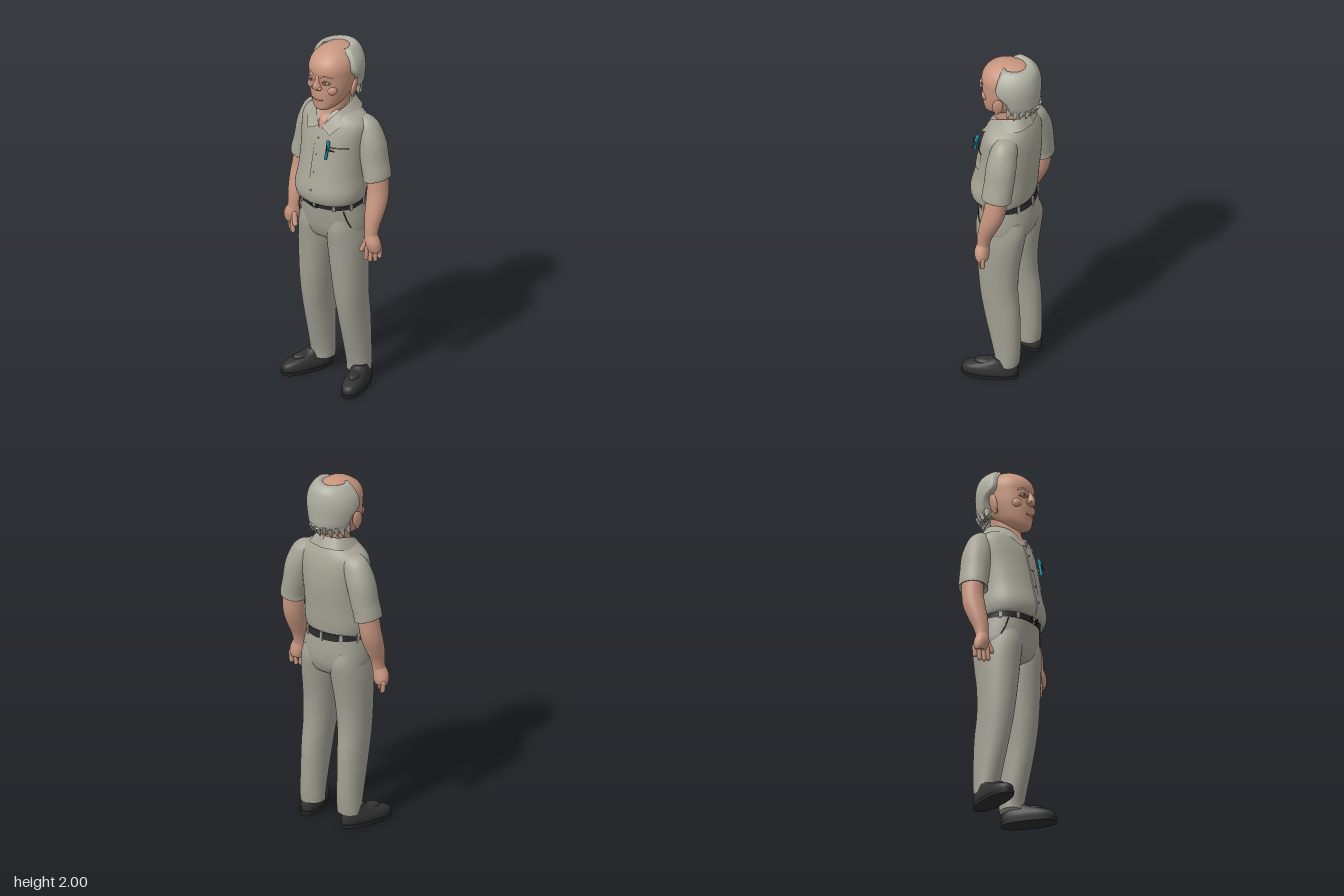
import * as THREE from 'three';

const mat = (name, color, side = THREE.FrontSide) => Object.assign(new THREE.MeshStandardMaterial({ color, side }), { name });

// Catmull-Rom resampling of a table of section rows
function resample(rows, sub) {
  const out = [], n = rows.length;
  for (let i = 0; i < n - 1; i++) {
    const [a, b, c, d] = [-1, 0, 1, 2].map(k => rows[Math.min(n - 1, Math.max(0, i + k))]);
    for (let s = 0; s < sub; s++) {
      const t = s / sub;
      out.push(b.map((v, k) => v + 0.5 * t * (c[k] - a[k] + t * (2 * a[k] - 5 * v + 4 * c[k] - d[k] + t * (3 * (v - c[k]) + d[k] - a[k])))));
    }
  }
  out.push(rows[n - 1]);
  return out;
}

function grid(pos, idx) {
  const g = new THREE.BufferGeometry();
  g.setAttribute('position', new THREE.Float32BufferAttribute(pos, 3));
  g.setIndex(idx);
  g.computeVertexNormals();
  return g;
}

// Closed body through rounded sections, each row being [y, x0, x1, z0, z1]
function loft(rows, power = 2, sub = 4, n = 36) {
  const rs = resample(rows, sub), pos = [], idx = [];
  const ring = ([y, x0, x1, z0, z1]) => {
    for (let j = 0; j < n; j++) {
      const a = j / n * Math.PI * 2, c = Math.cos(a), s = Math.sin(a);
      const f = v => Math.sign(v) * Math.abs(v) ** (2 / power);
      pos.push((x0 + x1) / 2 + (x1 - x0) / 2 * f(c), y, (z0 + z1) / 2 + (z1 - z0) / 2 * f(s));
    }
  };
  rs.forEach(ring);
  for (let i = 0; i < rs.length - 1; i++) for (let j = 0; j < n; j++) {
    const a = i * n + j, b = i * n + (j + 1) % n;
    idx.push(a, a + n, b, b, a + n, b + n);
  }
  [rs[0], rs[rs.length - 1]].forEach((r, top) => {
    const base = pos.length / 3;
    ring(r);
    pos.push((r[1] + r[2]) / 2, r[0], (r[3] + r[4]) / 2);
    for (let j = 0; j < n; j++) {
      const k = base + (j + 1) % n;
      top ? idx.push(base + n, k, base + j) : idx.push(base + n, base + j, k);
    }
  });
  return grid(pos, idx);
}

const sym = rows => rows.map(([y, h, z0, z1]) => [y, -h, h, z0, z1]);
const flip = (rows, s) => s > 0 ? rows : rows.map(([y, a, b, ...r]) => [y, -b, -a, ...r]);

// Front surface depth of a symmetric body
function frontZ(rows, x, y, power) {
  let i = 0;
  while (i < rows.length - 2 && rows[i + 1][0] < y) i++;
  const t = THREE.MathUtils.clamp((y - rows[i][0]) / (rows[i + 1][0] - rows[i][0]), 0, 1);
  const [, , h, z0, z1] = rows[i].map((v, k) => v + (rows[i + 1][k] - v) * t);
  return (z0 + z1) / 2 + (z1 - z0) / 2 * Math.max(0, 1 - Math.abs(x / h) ** power) ** (1 / power);
}

// Surface strip between two curves of points
function ruled(curveA, curveB, steps = 24) {
  const [A, B] = [curveA, curveB].map(c => new THREE.CatmullRomCurve3(c.map(p => new THREE.Vector3(...p))).getPoints(steps));
  const pos = [], idx = [];
  A.forEach((p, i) => {
    pos.push(...p.toArray(), ...B[i].toArray());
    if (i < steps) idx.push(2 * i, 2 * i + 1, 2 * i + 2, 2 * i + 2, 2 * i + 1, 2 * i + 3);
  });
  return grid(pos, idx);
}

const torsoRows = sym([[1.115, .165, -.135, .16], [1.122, .187, -.142, .18], [1.18, .198, -.152, .19], [1.28, .188, -.162, .167], [1.4, .19, -.173, .142],
  [1.5, .2, -.17, .12], [1.565, .2, -.157, .095], [1.605, .165, -.142, .075], [1.64, .095, -.125, .05]]);
const headRows = sym([[1.652, .026, .05, .112], [1.665, .052, .01, .127], [1.7, .083, -.05, .131], [1.75, .104, -.11, .136], [1.8, .117, -.14, .135],
  [1.85, .122, -.155, .136], [1.9, .123, -.16, .138], [1.945, .108, -.15, .116], [1.98, .072, -.115, .07], [1.995, .036, -.07, .025], [2, .004, -.025, -.015]]);
const beltRows = sym([[1.085, .178, -.154, .155], [1.13, .178, -.15, .16]]);

export function createModel() {
  const model = new THREE.Group();
  const D = THREE.DoubleSide;
  const skin = mat('skin', 0xc8967f), shirt = mat('shirt', 0xa6a496, D), trousers = mat('trousers', 0xa19f92), hair = mat('hair', 0xadada0, D);
  const shoe = mat('shoe leather', 0x323233), black = mat('black leather', 0x2a2a2c), teal = mat('pen teal', 0x14809c);
  const white = mat('eye white', 0xd8d2c8), seam = mat('seam and iris', 0x57524a, D), lip = mat('lips', 0xb07a68, D);
  const add = (name, geo, m, parent = model) => {
    const mesh = new THREE.Mesh(geo, m);
    mesh.name = name;
    parent.add(mesh);
    return mesh;
  };
  const ball = (name, m, x, y, z, sx, sy, sz) => {
    const b = add(name, new THREE.SphereGeometry(1, 20, 14), m);
    b.position.set(x, y, z);
    b.scale.set(sx, sy, sz);
    return b;
  };
  const tube = (name, pts, r, m) => add(name, new THREE.TubeGeometry(new THREE.CatmullRomCurve3(pts.map(p => new THREE.Vector3(...p))), 16, r, 8), m);
  const limb = (name, a, b, r, m) => {
    const va = new THREE.Vector3(...a), d = new THREE.Vector3(...b).sub(va);
    const c = add(name, new THREE.CapsuleGeometry(r, d.length(), 6, 12), m);
    c.position.copy(va).addScaledVector(d, .5);
    c.quaternion.setFromUnitVectors(new THREE.Vector3(0, 1, 0), d.normalize());
    return c;
  };
  const onShirt = (x, y, off = .003) => [x, y, frontZ(torsoRows, x, y, 2.2) + off];
  const onFace = (x, y, off = 0) => [x, y, frontZ(headRows, x, y, 2.2) + off];

  // Head, neck and face
  add('head', loft(headRows, 2.2, 5, 48), skin);
  add('neck', loft(sym([[1.535, .03, -.05, .112], [1.58, .052, -.08, .1], [1.63, .068, -.1, .07], [1.74, .075, -.11, .06]]), 2), skin);
  add('nose', loft(sym([[1.782, .014, .1, .146], [1.79, .026, .1, .158], [1.802, .028, .1, .163], [1.817, .02, .1, .165], [1.84, .013, .1, .152], [1.87, .014, .1, .138]]), 2, 4, 24), skin);
  add('upperLip', ruled([-.036, -.014, 0, .014, .036].map((x, i) => onFace(x, [1.726, 1.737, 1.735, 1.737, 1.726][i], .004)), [-.036, -.014, 0, .014, .036].map(x => onFace(x, 1.726, .008))), lip);
  add('lowerLip', ruled([-.034, -.014, 0, .014, .034].map(x => onFace(x, 1.725, .007)), [-.034, -.014, 0, .014, .034].map((x, i) => onFace(x, [1.723, 1.714, 1.712, 1.714, 1.723][i], .004))), lip);
  tube('mouthLine', [-.036, 0, .036].map(x => onFace(x, 1.7255, .005)), .002, seam);
  for (const s of [1, -1]) {
    const e = x => s * x;
    ball('eye', white, e(.05), 1.832, onFace(.05, 1.832)[2] - .004, .02, .0075, .008);
    ball('iris', seam, e(.05), 1.832, onFace(.05, 1.832)[2] + .001, .0075, .0068, .0045);
    tube('upperEyelid', [[.028, 1.831], [.048, 1.842], [.074, 1.83]].map(([x, y]) => onFace(e(x), y, .001)), .0045, skin);
    tube('eyelidLine', [[.028, 1.829], [.048, 1.839], [.074, 1.828]].map(([x, y]) => onFace(e(x), y, .003)), .0018, seam);
    tube('eyeBag', [[.03, 1.825], [.05, 1.819], [.073, 1.826]].map(([x, y]) => onFace(e(x), y, -.001)), .004, skin);
    tube('eyebrow', [[.022, 1.862], [.05, 1.87], [.083, 1.858]].map(([x, y]) => onFace(e(x), y, -.002)), .0055, skin);
    ball('nostrilWing', skin, e(.022), 1.797, .142, .012, .011, .013);
    ball('cheek', skin, e(.063), 1.785, .09, .034, .032, .03);
    const ear = ball('ear', skin, e(.135), 1.785, -.012, .013, .054, .03);
    ear.rotation.set(-.15, e(.35), e(-.12));
    ball('earLobe', skin, e(.127), 1.74, -.002, .011, .016, .013);
  }

  // Horseshoe of hair: rows are [y, side radius, back radius, half arc in degrees]
  const hr = resample([[1.76, .08, .09, 78], [1.72, .104, .132, 78], [1.765, .135, .153, 80], [1.83, .15, .157, 90], [1.88, .153, .158, 120], [1.93, .143, .152, 119],
    [1.97, .118, .138, 112], [1.994, .09, .108, 106], [1.985, .064, .074, 103], [1.95, .055, .05, 100]], 4);
  const hp = [], hi = [], HN = 72;
  hr.forEach(([y, rx, rz, deg], i) => {
    for (let j = 0; j <= HN; j++) {
      const t = j / HN * 2 - 1, a = t * deg * Math.PI / 180, c = Math.cos(a);
      const k = 1 - .22 * THREE.MathUtils.smoothstep(Math.abs(t), .84, 1);
      const jag = Math.max(0, 1 - Math.abs(i - 4) / 5) * (.018 * (j % 8) / 8 + .01 * Math.sin(j * .9));
      hp.push(Math.sin(a) * rx * k, y + jag, -.03 - c * (c > 0 ? rz : .1) * k);
      if (j < HN && i < hr.length - 1) {
        const p = i * (HN + 1) + j, q = p + HN + 1;
        hi.push(p, q, p + 1, p + 1, q, q + 1);
      }
    }
  });
  add('hair', grid(hp, hi), hair);
  // Loose tufts over the nape and behind the ears
  for (let i = -5; i <= 5; i++) {
    const a = i * .26, tuft = add('hairTuft', new THREE.ConeGeometry(.021, .065, 8), hair);
    tuft.position.set(Math.sin(a) * .122, 1.728 + .008 * (i & 1), -.03 - Math.cos(a) * .138);
    tuft.rotation.set(Math.PI - .25 * Math.cos(a), 0, -.35 * Math.sin(a));
  }

  // Shirt body, collar, front overlap and buttons
  add('shirtBody', loft(torsoRows, 2.2, 5, 56), shirt);
  for (const s of [1, -1]) {
    const m = pts => pts.map(([x, y, z]) => [s * x, y, z]);
    const fold = m([[0, 1.692, -.128], [.066, 1.688, -.1], [.09, 1.672, -.025], [.067, 1.63, .06], [.008, 1.553, .112]]);
    add('collarLeaf', ruled(fold, m([[0, 1.632, -.155], [.1, 1.63, -.125], [.135, 1.61, -.025], [.118, 1.575, .075], [.075, 1.525, .124]])), shirt);
    add('collarStand', ruled(fold, m([[0, 1.61, -.115], [.07, 1.61, -.09], [.088, 1.6, -.02], [.065, 1.57, .055], [.006, 1.535, .1]])), shirt);
  }
  const ys = [1.122, 1.16, 1.2, 1.25, 1.3, 1.36, 1.42, 1.48, 1.54];
  add('placket', ruled(ys.map(y => onShirt(-.02, y, .006)), ys.map(y => onShirt(.02, y, .003))), shirt);
  add('placketEdge', ruled(ys.map(y => onShirt(-.022, y, .001)), ys.map(y => onShirt(-.02, y, .006))), shirt);
  for (const y of [1.2, 1.3, 1.4, 1.49]) ball('button', shirt, 0, y, onShirt(0, y)[2] + .003, .006, .006, .003);

  // Chest pocket with a clipped pen
  const px = [.075, .1, .125, .15, .168];
  add('pocket', ruled(px.map(x => onShirt(x, 1.455, .008)), px.map((x, i) => onShirt(x, [1.345, 1.335, 1.33, 1.335, 1.345][i], .004))), shirt);
  tube('pocketOpening', px.map(x => onShirt(x, 1.455, .007)), .0025, seam);
  limb('penBody', [.076, 1.4, .157], [.08, 1.475, .141], .008, teal);
  limb('penCap', [.082, 1.465, .146], [.078, 1.49, .139], .0105, teal);
  limb('penClip', [.083, 1.448, .162], [.083, 1.478, .156], .003, black);
  limb('penSide', [.088, 1.45, .148], [.125, 1.452, .146], .004, seam);

  // Trousers and belt
  add('hips', loft(sym([[.865, .06, -.09, .05], [.89, .15, -.135, .105], [.94, .19, -.158, .13], [1, .192, -.163, .141], [1.06, .183, -.158, .148], [1.11, .174, -.15, .152]]), 2.2, 4, 48), trousers);
  add('belt', loft(beltRows, 2.2, 1, 48), black);
  for (let i = 0; i < 10; i++) {
    const a = (i + .5) / 10 * Math.PI * 2, c = Math.cos(a), s = Math.sin(a), f = v => Math.sign(v) * Math.abs(v) ** (2 / 2.2);
    const loop = add('beltLoop', new THREE.BoxGeometry(.018, .052, .008), trousers);
    loop.position.set(f(c) * .18, 1.107, .003 + f(s) * .157);
    loop.rotation.y = Math.atan2(c / .178, s / .155);
  }
  const buckle = add('buckle', new THREE.TorusGeometry(.02, .004, 6, 4, Math.PI * 2).rotateZ(Math.PI / 4), black);
  buckle.position.set(0, 1.107, .164);
  buckle.scale.set(1.7, 1.1, 1);

  for (const s of [1, -1]) {
    // Leg and hip pocket seam
    add('trouserLeg', loft(flip([[.075, .06, .19, -.13, 0], [.12, .058, .19, -.134, .003], [.2, .057, .19, -.137, .022], [.4, .05, .193, -.132, .07], [.55, .036, .197, -.116, .096],
      [.7, .019, .2, -.12, .11], [.85, .001, .2, -.142, .121], [.95, 0, .19, -.155, .13], [1.02, .01, .175, -.14, .12]], s), 2.2, 5), trousers);
    tube('hipPocketSeam', [[s * .15, 1.08, .097], [s * .165, 1.03, .088], [s * .178, .98, .066]], .003, seam);

    // Shoe turned outward
    const foot = new THREE.Group();
    foot.name = 'shoe';
    foot.position.set(s * .168, 0, 0);
    foot.rotation.y = s * .33;
    model.add(foot);
    add('shoeUpper', loft(sym([[.018, .054, -.135, .163], [.04, .057, -.138, .166], [.062, .054, -.135, .15], [.082, .047, -.13, .095], [.1, .042, -.125, .03], [.118, .038, -.12, .0]]), 2.4), shoe, foot);
    add('shoeSole', loft(sym([[0, .057, -.14, .168], [.02, .06, -.142, .172]]), 2.4, 1), black, foot);
    add('shoeTongue', new THREE.SphereGeometry(1, 16, 12).scale(.034, .02, .06), shoe, foot).position.set(0, .085, .04);

    // Sleeve with a slanted hem
    const sleeve = loft(flip([[1.262, .195, .305, -.13, 0], [1.25, .183, .317, -.145, .014], [1.256, .18, .32, -.148, .017], [1.285, .177, .316, -.148, .015], [1.35, .16, .302, -.152, .012], [1.45, .13, .287, -.153, .01],
      [1.52, .1, .264, -.143, .002], [1.57, .08, .236, -.128, -.01], [1.598, .09, .2, -.1, -.03], [1.605, .12, .16, -.075, -.055]], s), 2.1, 5);
    const p = sleeve.attributes.position;
    for (let i = 0; i < p.count; i++) {
      const low = THREE.MathUtils.clamp((1.5 - p.getY(i)) / .2, 0, 1);
      p.setY(i, p.getY(i) + (Math.abs(p.getX(i)) - .24) * .22 * low);
    }
    sleeve.computeVertexNormals();
    add('sleeve', sleeve, shirt);

    // Arm and hand
    add('arm', loft(flip([[.915, .232, .306, -.024, .04], [.955, .23, .304, -.032, .038], [1, .224, .308, -.047, .036], [1.06, .213, .317, -.078, .028], [1.13, .204, .322, -.108, .012],
      [1.2, .2, .317, -.122, -.002], [1.31, .2, .303, -.13, -.008]], s), 2), skin);
    add('palm', loft(flip([[.852, .25, .322, -.026, .03], [.875, .243, .327, -.032, .04], [.91, .235, .323, -.03, .045], [.95, .236, .303, -.025, .037]], s), 2.2), skin);
    [[.257, .03, .81], [.277, .018, .803], [.297, .002, .805], [.314, -.016, .822]].forEach(([x, z, y]) =>
      limb('finger', [s * x, .87, z], [s * (x - .004), y, z + .002], .0125, skin));
    limb('thumb', [s * .25, .915, .025], [s * .231, .86, .04], .0145, skin);
  }
  return model;
}
